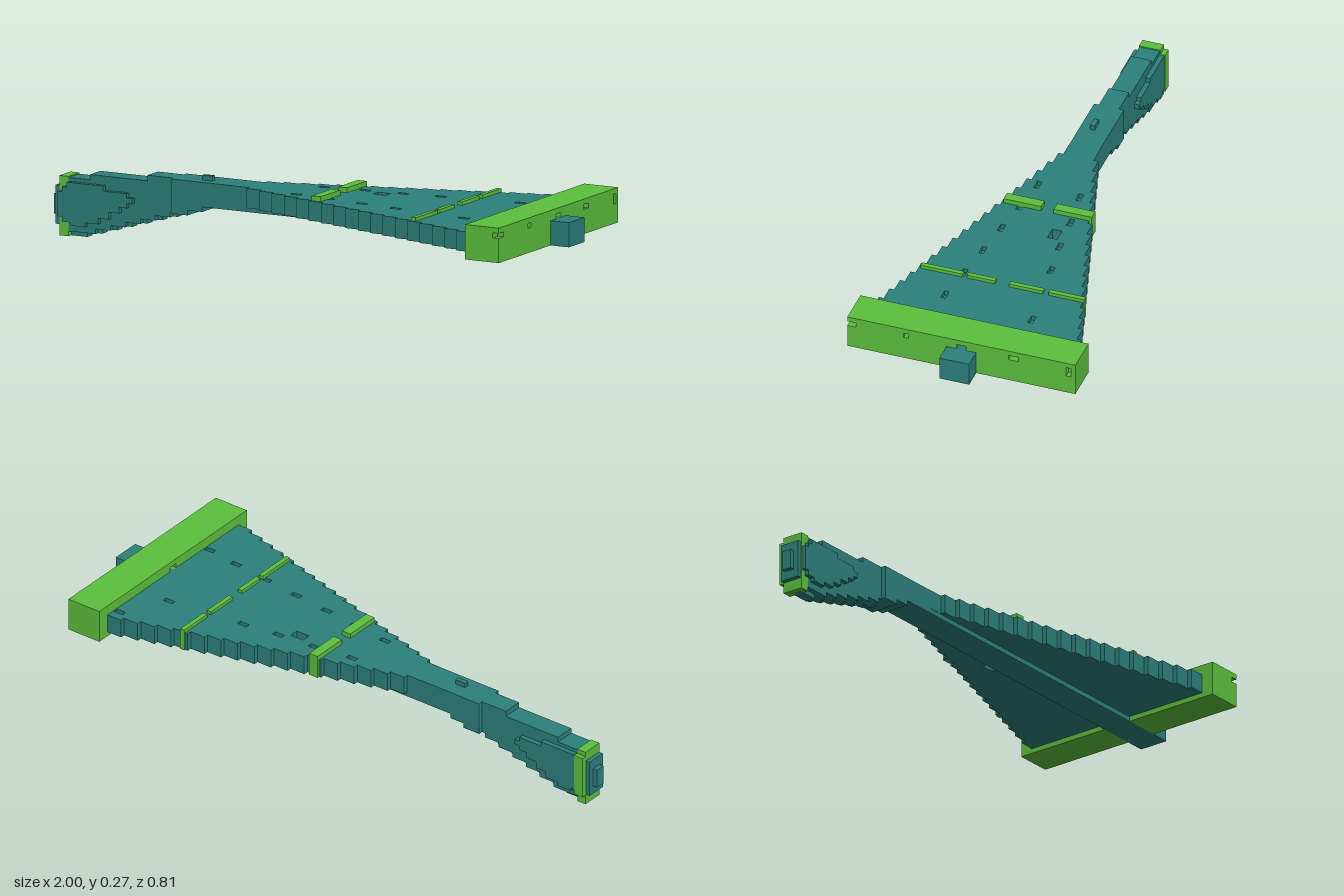
import * as THREE from 'three';

const teal = new THREE.MeshStandardMaterial({ color: 0x2c807c });
teal.name = 'teal';
const green = new THREE.MeshStandardMaterial({ color: 0x5cc03c });
green.name = 'green';

const U = 0.017; // one block
const TOP = 0.237;

export function createModel() {
  const group = new THREE.Group();

  const add = (name, geo, mat) => {
    const mesh = new THREE.Mesh(geo, mat);
    mesh.name = name;
    group.add(mesh);
    return mesh;
  };
  const box = (name, mat, x0, x1, y0, y1, z0, z1) => {
    const g = new THREE.BoxGeometry(x1 - x0, y1 - y0, z1 - z0);
    g.translate((x0 + x1) / 2, (y0 + y1) / 2, (z0 + z1) / 2);
    return add(name, g, mat);
  };
  // Extruded outline; each hole is [x0, x1, y0, y1] in outline space
  const slab = (pts, depth, holes = []) => {
    const s = new THREE.Shape(pts.map(p => new THREE.Vector2(p[0], p[1])));
    for (const [a, b, c, d] of holes) {
      s.holes.push(new THREE.Path([[a, c], [a, d], [b, d], [b, c]].map(p => new THREE.Vector2(...p))));
    }
    return new THREE.ExtrudeGeometry(s, { depth, bevelEnabled: false });
  };
  // Turns a list of points into square steps
  const steps = (pts) => pts.flatMap((p, i) => (i ? [[p[0], pts[i - 1][1]], p] : [p]));

  // Central beam, running through to the far end
  box('beam', teal, -0.41, 1, 0.153, TOP, -0.053, 0.053);
  for (let i = 0; i < 2; i++) {
    box('beamStep', teal, -0.53, -0.41 - 0.055 * i, 0.136 - U * i, 0.153 - U * i, -0.053, 0.053);
  }
  box('beamFront', teal, -0.53, -0.41, 0.153, TOP, -0.053, 0.053);
  box('beamStud', teal, -0.43, -0.39, TOP, TOP + U, 0, U);

  // Stepped fan: plain lower layer, pitted upper layer
  const edge = [];
  const n = 19, x0 = -0.285, w = (0.8 - x0) / n;
  for (let i = 0; i < n; i++) {
    const h = 0.054 + U * i;
    edge.push([x0 + w * i, h], [x0 + w * (i + 1), h]);
  }
  const outline = [...edge.map(([x, h]) => [x, -h]), ...edge.slice().reverse()];
  const through = [0.185, 0.235, 0.056, 0.09];
  const pits = [
    [-0.015, -0.08], [0.13, -0.1], [0.27, -0.112], [0.405, -0.13], [0.69, -0.165],
    [-0.035, 0.075], [0.1, 0.09], [0.235, 0.107], [0.375, 0.123], [0.515, 0.14], [0.655, 0.157],
    [0.78, 0.175], [0.78, -0.32],
  ].map(([x, z]) => [x - 0.019, x + 0.019, -z - 0.0085, -z + 0.0085]);
  const lower = slab(outline, TOP - U - 0.17, [through]);
  lower.rotateX(-Math.PI / 2).translate(0, 0.17, 0);
  add('fanLower', lower, teal);
  const upper = slab(outline, U, [through, ...pits]);
  upper.rotateX(-Math.PI / 2).translate(0, TOP - U, 0);
  add('fanUpper', upper, teal);

  // Raised bands across the fan, folding down the back edge
  for (const [z0, z1] of [[-0.16, -0.03], [0.015, 0.148]]) {
    box('narrowBand', green, 0.065, 0.1, TOP - 0.004, TOP + U, z0, z1);
  }
  box('narrowBandFold', green, 0.065, 0.1, 0.17, TOP + U, -0.165, -0.155);
  for (const [z0, z1] of [[-0.292, -0.17], [-0.15, -0.03], [0.02, 0.12], [0.135, 0.284]]) {
    box('wideBand', green, 0.525, 0.542, TOP - 0.004, TOP + 0.012, z0, z1);
  }
  box('wideBandFold', green, 0.525, 0.542, 0.17, TOP + 0.012, -0.297, -0.288);

  // Cross bar with a sight hole and pits in its outer face
  const B0 = 0.153, B1 = 0.272, Z = 0.405, P0 = TOP, P1 = TOP + U;
  const sight = [-U, U, P0, P1];
  const inner = slab([[-Z, B0], [Z, B0], [Z, B1], [-Z, B1]], 0.107, [sight]);
  inner.rotateY(Math.PI / 2).translate(0.8, 0, 0);
  add('crossBar', inner, green);
  const faceShape = [[-Z, B0], [Z, B0], [Z, B1], [-Z, B1], [-Z, P1], [-0.374, P1], [-0.374, P0], [-Z, P0]];
  const face = slab(faceShape, 0.023, [
    sight, [-0.205, -0.187, P0, P1], [0.168, 0.203, P0, P1], [0.372, 0.389, P0 - U, P1],
  ]);
  face.rotateY(Math.PI / 2).translate(0.907, 0, 0);
  add('crossBarFace', face, green);

  // Head at the narrow end: stepped core, with shallower cheeks on each side
  const headLayer = (name, cut, half) => {
    const under = [[-0.95 + cut, cut]];
    for (let i = 0; i < 9; i++) under.push([-0.87 + i * 0.0575 - cut, U * (i + 1)]);
    const pts = [
      ...steps(under).map(([x, y]) => [x, y]),
      [-0.41 - cut, TOP], [-0.63, TOP], [-0.63, 0.218], [-0.85, 0.218], [-0.85, 0.2],
      [-0.95, 0.2], [-0.95, 0.17], [-0.983, 0.17], [-0.983, 0.136], [-1 + cut, 0.136],
      [-1 + cut, 0.068], [-0.983, 0.068], [-0.983, 0.038], [-0.95 + cut, 0.038],
    ];
    add(name, slab(pts, half * 2).translate(0, 0, -half), teal);
  };
  headLayer('headCore', 0, 0.0175);
  headLayer('headCheeks', U, 0.036);

  // Raised panels on both sides of the head
  const panel = [
    [-0.965, 0.068], [-0.948, 0.068], [-0.948, 0.051], [-0.915, 0.051], [-0.915, 0.04], [-0.86, 0.04],
    [-0.86, 0.055], [-0.81, 0.055], [-0.81, 0.075], [-0.77, 0.075], [-0.77, 0.1], [-0.73, 0.1],
    [-0.73, 0.12], [-0.7, 0.12], [-0.7, 0.136], [-0.68, 0.136], [-0.68, 0.155], [-0.7, 0.155],
    [-0.7, 0.17], [-0.79, 0.17], [-0.79, 0.187], [-0.93, 0.187], [-0.93, 0.17], [-0.948, 0.17],
    [-0.948, 0.153], [-0.965, 0.153],
  ];
  for (const z of [0.034, -0.053]) {
    add('headPanel', slab(panel, 0.019).translate(0, 0, z), teal);
  }

  // Collar around the head
  box('collar', green, -0.967, -0.932, 0, 0.204, -0.038, 0.038);
  box('collarBack', green, -0.967, -0.932, 0.036, 0.187, -0.055, -0.036);

  return group;
}
